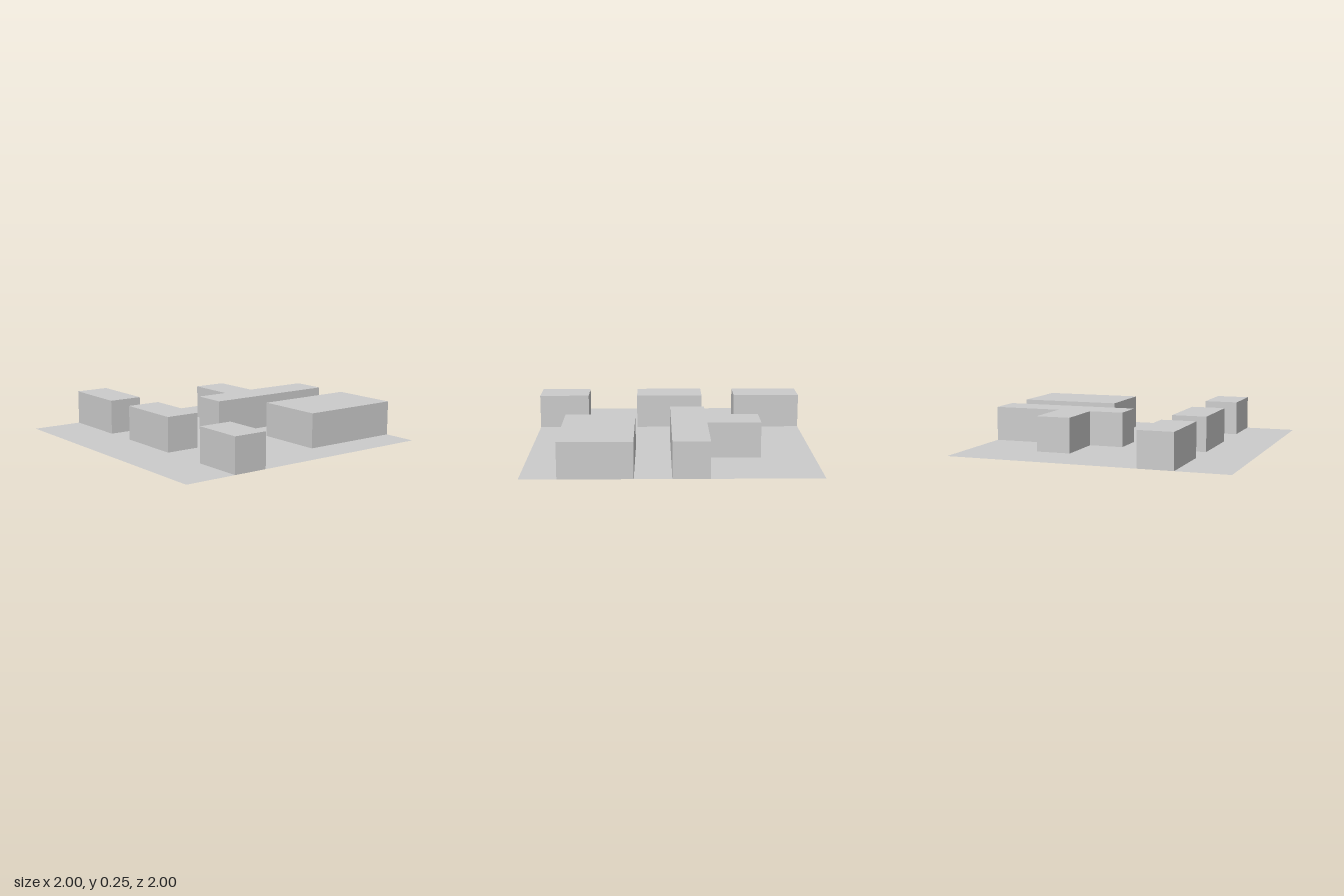
import * as THREE from 'three';

const HEIGHT = 0.25;

// Block footprints as [x, z], counterclockwise seen from above.
// Those on the rim begin and end on the floor's edge.
const blocks = {
  frontBlock: [[-0.375, 1], [-0.375, 0.625], [-0.625, 0.625], [-0.625, 1]],
  wideBlock: [[1, 0.25], [0.25, 0.25], [0.25, 0.75], [1, 0.75]],
  teeBlock: [[1, -0.25], [0.5, -0.25], [0.5, -0.625], [0.25, -0.625],
    [0.25, -0.25], [0, -0.25], [0, 0], [1, 0]],
  backBlock: [[-0.625, -1], [-0.625, -0.5], [-0.375, -0.5], [-0.375, -1]],
  middleBlock: [[-0.625, 0.25], [-0.375, 0.25], [-0.375, -0.25], [-0.625, -0.25]],
};

const material = new THREE.MeshStandardMaterial({
  color: 0xcccccc, flatShading: true, side: THREE.DoubleSide,
});

const toVectors = (outline) => outline.map(([x, z]) => new THREE.Vector2(x, -z));

// Flat horizontal sheet, optionally with a hole
function sheet(name, outline, y, hole) {
  const shape = new THREE.Shape(toVectors(outline));
  if (hole) shape.holes.push(new THREE.Path(toVectors(hole)));
  const mesh = new THREE.Mesh(new THREE.ShapeGeometry(shape).rotateX(-Math.PI / 2), material);
  mesh.name = name;
  mesh.position.y = y;
  return mesh;
}

// Upright walls along a closed outline
function walls(outline) {
  const positions = [];
  outline.forEach(([ax, az], i) => {
    const [bx, bz] = outline[(i + 1) % outline.length];
    positions.push(ax, 0, az, bx, 0, bz, bx, HEIGHT, bz);
    positions.push(ax, 0, az, bx, HEIGHT, bz, ax, HEIGHT, az);
  });
  const geometry = new THREE.BufferGeometry();
  geometry.setAttribute('position', new THREE.Float32BufferAttribute(positions, 3));
  geometry.computeVertexNormals();
  const mesh = new THREE.Mesh(geometry, material);
  mesh.name = 'walls';
  return mesh;
}

export function createModel() {
  const model = new THREE.Group();
  model.name = 'floorWithBlocks';

  // Hollow blocks, open underneath
  for (const [name, outline] of Object.entries(blocks)) {
    const block = new THREE.Group();
    block.name = name;
    block.add(walls(outline), sheet('roof', outline, HEIGHT));
    model.add(block);
  }

  // Thin floor, cut out beneath every block
  const notch = (name) => [...blocks[name]].reverse();
  const floorOutline = [
    [-1, 1], ...notch('frontBlock'),
    [1, 1], ...notch('wideBlock'), ...notch('teeBlock'),
    [1, -1], ...notch('backBlock'),
    [-1, -1],
  ];
  model.add(sheet('floor', floorOutline, 0, notch('middleBlock')));

  return model;
}
